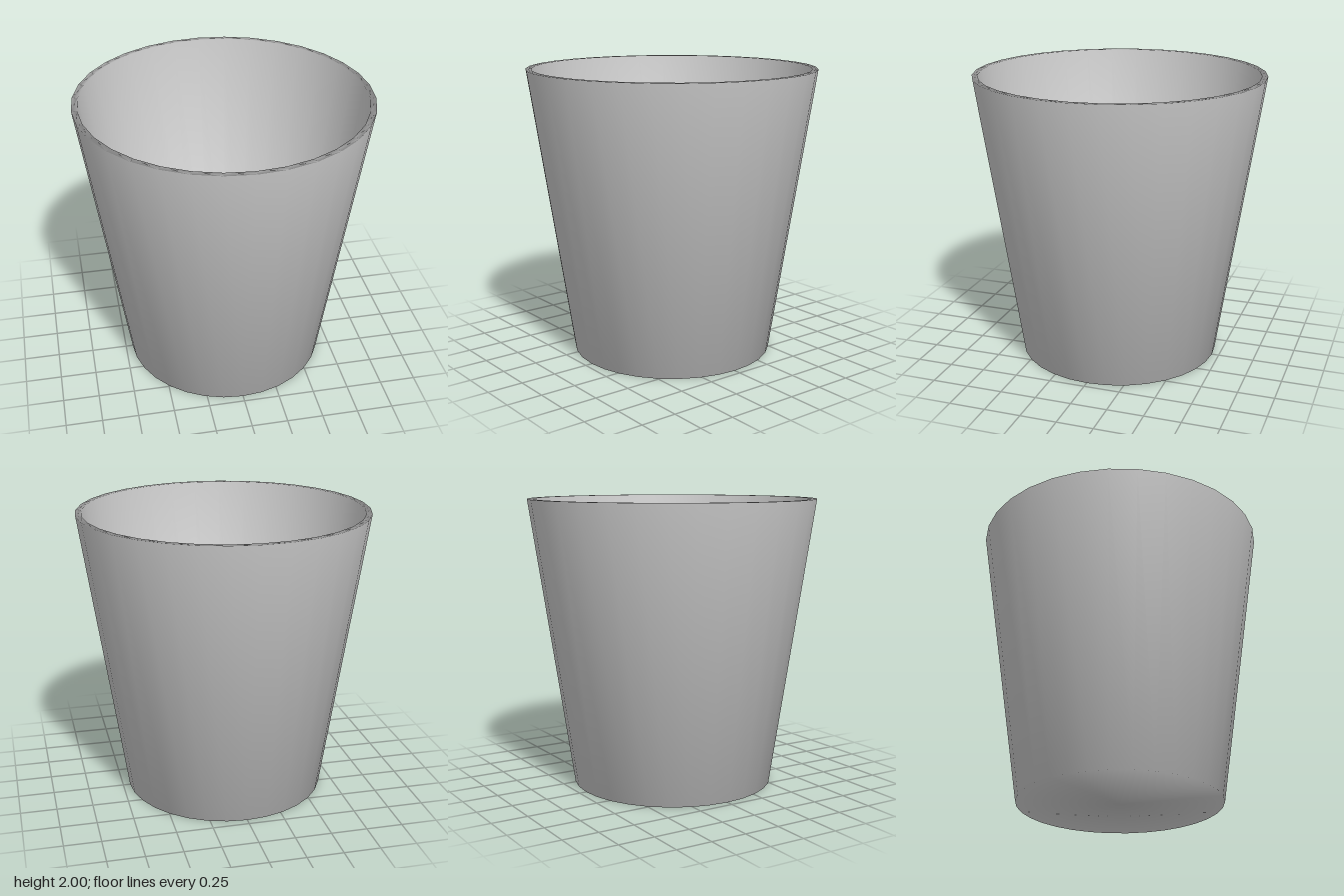
import * as THREE from 'three';

const SEGMENTS = 32;

export function createModel() {
  const model = new THREE.Group();

  // Tapered cup: one closed profile, from under the base, over the rim, to the inner floor
  const profile = [
    [0, 0],
    [0.7, 0],
    [1, 2],
    [0.96, 2],
    [0.665, 0.04],
    [0, 0.04],
  ].map(([r, y]) => new THREE.Vector2(r, y));

  const cup = new THREE.Mesh(
    new THREE.LatheGeometry(profile, SEGMENTS),
    new THREE.MeshStandardMaterial({ color: 0xcccccc })
  );
  cup.name = 'cup';
  model.add(cup);

  return model;
}
